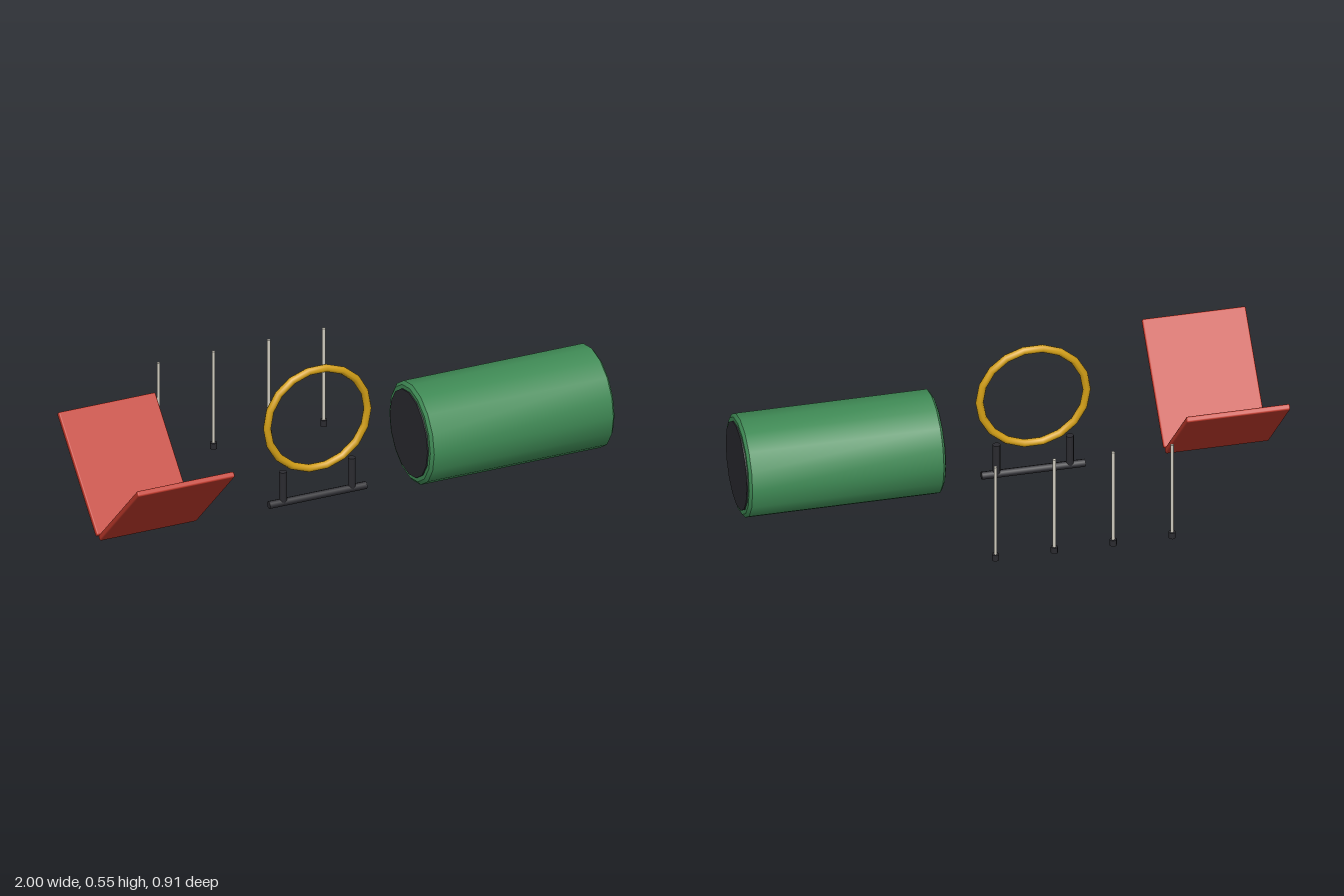
import * as THREE from 'three';
import { toCreasedNormals } from 'three/addons/utils/BufferGeometryUtils.js';
import { RoundedBoxGeometry } from 'three/addons/geometries/RoundedBoxGeometry.js';

const mat = (color) => new THREE.MeshStandardMaterial({ color });
const red = mat(0xc0392b), green = mat(0x3f8a55), yellow = mat(0xd4a017);
const dark = mat(0x2b2b30), pale = mat(0xd0ccc0);

function add(parent, name, geometry, material, x, y, z) {
  const mesh = new THREE.Mesh(geometry, material);
  mesh.name = name;
  mesh.position.set(x, y, z);
  parent.add(mesh);
  return mesh;
}

function group(parent, name) {
  const g = new THREE.Group();
  g.name = name;
  parent.add(g);
  return g;
}

const rod = (r, h, sides) => new THREE.CylinderGeometry(r, r, h, sides);

export function createModel() {
  const model = new THREE.Group();
  model.name = 'agilityCourse';
  const midZ = 0.095;

  // Two tilted boards forming a V
  const ramp = group(model, 'ramp');
  for (const s of [1, -1]) {
    const board = add(ramp, s > 0 ? 'frontBoard' : 'backBoard',
      new RoundedBoxGeometry(0.39, 0.022, 0.488, 2, 0.006), red, -0.805, 0.21, midZ + s * 0.183);
    board.rotation.x = -s * Math.PI / 4;
  }

  // Tunnel with bevelled rims and dark openings
  const tunnel = group(model, 'tunnel');
  tunnel.position.set(0.625, 0.2, midZ);
  tunnel.rotation.z = -Math.PI / 2;
  const profile = [[0, -0.37], [0.182, -0.37], [0.195, -0.36], [0.195, 0.36], [0.182, 0.37], [0, 0.37]]
    .map(([r, y]) => new THREE.Vector2(r, y));
  add(tunnel, 'tunnelBody', toCreasedNormals(new THREE.LatheGeometry(profile, 16), 0.6), green, 0, 0, 0);
  for (const s of [1, -1]) {
    add(tunnel, 'tunnelOpening', rod(0.167, 0.01, 16), dark, 0, s * 0.37, 0);
  }

  // Hoop above a small stand
  const hoop = group(model, 'hoop');
  hoop.position.set(-0.117, 0, midZ);
  add(hoop, 'hoopRing', new THREE.TorusGeometry(0.202, 0.015, 8, 18), yellow, 0, 0.341, 0);
  add(hoop, 'hoopBase', rod(0.015, 0.39, 8), dark, 0, 0.024, 0).rotation.z = Math.PI / 2;
  for (const s of [1, -1]) {
    add(hoop, 'hoopPost', rod(0.015, 0.126, 8), dark, s * 0.138, 0.087, 0);
  }

  // Row of weave poles
  const poles = group(model, 'weavePoles');
  for (let i = 0; i < 4; i++) {
    const x = -0.511 + i * 0.2215;
    add(poles, 'pole', rod(0.0065, 0.39, 8), pale, x, 0.205, -0.445);
    add(poles, 'poleFoot', rod(0.0135, 0.025, 8), dark, x, 0.0125, -0.445);
  }

  return model;
}
